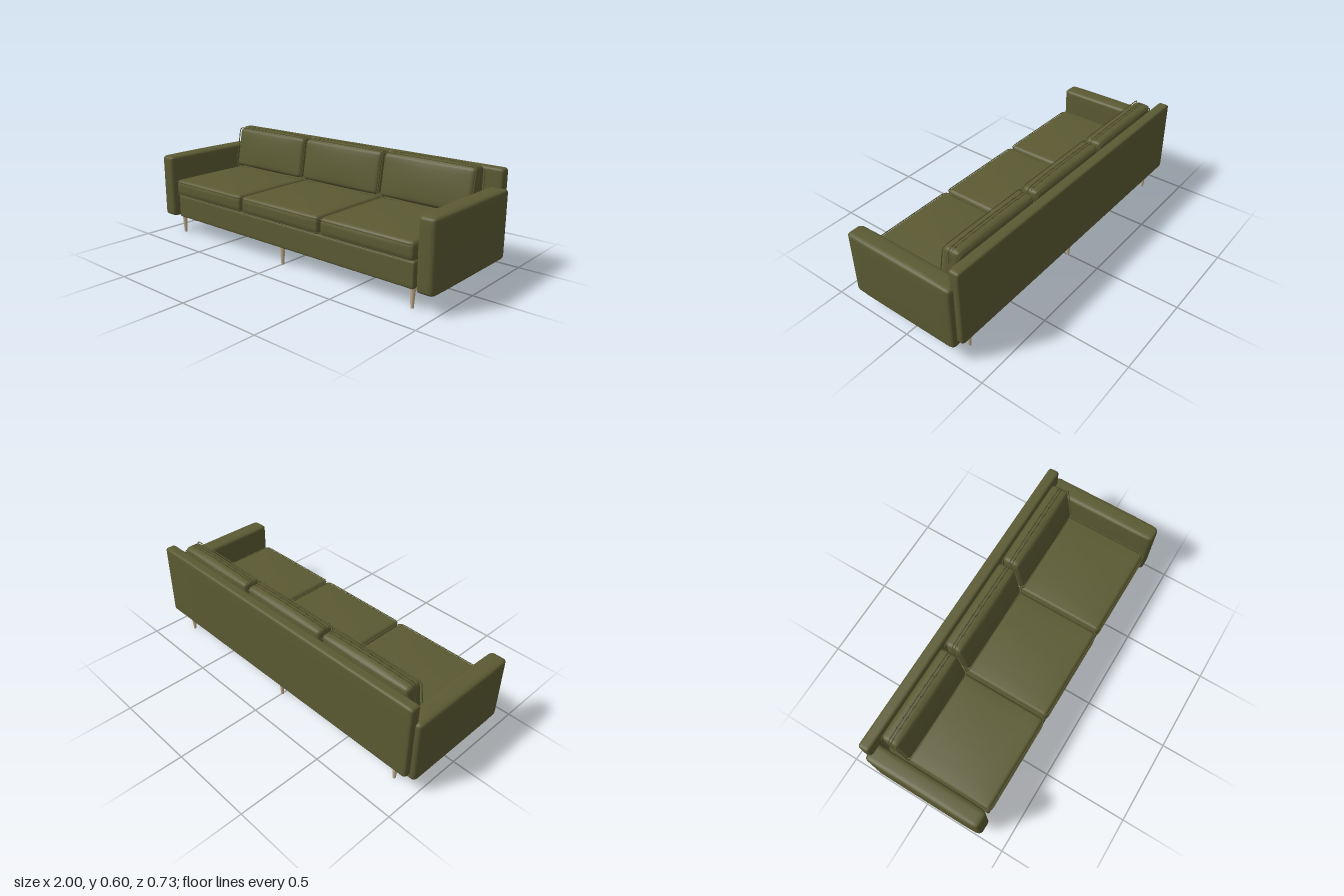
import * as THREE from 'three';
import { mergeVertices } from 'three/addons/utils/BufferGeometryUtils.js';

const fabric = new THREE.MeshStandardMaterial({ color: 0x5b5a33 });
fabric.name = 'oliveFabric';
const wood = new THREE.MeshStandardMaterial({ color: 0xc4b092 });
wood.name = 'paleWood';

// Box with rounded edges (radius r per axis); faces swell by puff = [x, y, z]
function softBox([w, h, d], r, puff = [0, 0, 0], deform) {
  const n = 14, edge = 3;
  const box = new THREE.BoxGeometry(2, 2, 2, n, n, n);
  box.deleteAttribute('normal');
  box.deleteAttribute('uv');
  const g = mergeVertices(box, 1e-4);
  const half = [w / 2, h / 2, d / 2];
  const p = g.attributes.position;
  // First few grid lines on each side form the rounded edge, the rest the flat face
  const spread = (t, s, rad) => {
    const i = Math.round((t + 1) * n / 2);
    if (i <= edge) return -s + rad * (1 - Math.cos(i / edge * Math.PI / 2));
    if (i >= n - edge) return s - rad * (1 - Math.cos((n - i) / edge * Math.PI / 2));
    return (s - rad) * (2 * (i - edge) / (n - 2 * edge) - 1);
  };
  for (let i = 0; i < p.count; i++) {
    const t = [p.getX(i), p.getY(i), p.getZ(i)];
    const q = t.map((v, a) => spread(v, half[a], r[a]));
    const core = q.map((v, a) => THREE.MathUtils.clamp(v, -half[a] + r[a], half[a] - r[a]));
    const off = q.map((v, a) => (v - core[a]) / r[a]);
    const len = Math.hypot(...off) || 1;
    const u = q.map((v, a) => v / half[a]);
    const v = core.map((c, a) => {
      const b = (a + 1) % 3, e = (a + 2) % 3;
      const swell = puff[a] * (1 - u[b] ** 2) * (1 - u[e] ** 2) * u[a];
      return c + off[a] / len * r[a] + swell;
    });
    const out = new THREE.Vector3(...v);
    if (deform) deform(out);
    p.setXYZ(i, out.x, out.y, out.z);
  }
  g.computeVertexNormals();
  return g;
}

// Thin closed cord round a rounded rectangle; place(a, b) turns 2D into 3D
function cord(w, h, r, place) {
  const pts = [];
  for (let c = 0; c < 4; c++) {
    const cx = (c === 0 || c === 3 ? 1 : -1) * (w / 2 - r);
    const cy = (c < 2 ? 1 : -1) * (h / 2 - r);
    for (let k = 0; k <= 4; k++) {
      const a = (c + k / 4) * Math.PI / 2;
      pts.push(place(cx + r * Math.cos(a), cy + r * Math.sin(a)));
    }
  }
  const path = new THREE.CurvePath();
  pts.forEach((pt, i) => path.add(new THREE.LineCurve3(pt, pts[(i + 1) % pts.length])));
  path.getPointAt = (t, target) => path.getPoint(t, target);
  return new THREE.TubeGeometry(path, 120, 0.003, 5, true);
}

export function createModel() {
  const sofa = new THREE.Group();
  sofa.name = 'sofa';
  const add = (name, geo, mat, x = 0, y = 0, z = 0, parent = sofa) => {
    const m = new THREE.Mesh(geo, mat);
    m.name = name;
    m.position.set(x, y, z);
    parent.add(m);
    return m;
  };

  // Frame: base rail and tall back panel
  add('base', softBox([1.75, 0.14, 0.65], [0.012, 0.012, 0.012]), fabric, 0, 0.172, 0.015);
  add('backPanel', softBox([1.935, 0.45, 0.066], [0.022, 0.018, 0.015]), fabric, 0, 0.356, -0.331);

  // Arms, narrowing slightly towards the front
  for (const s of [1, -1]) {
    const arm = softBox([0.106, 0.378, 0.69], [0.022, 0.018, 0.03], [0.002, 0.004, 0],
      v => { if (v.z > 0.3) v.x *= 1 - (v.z - 0.3) * 3; });
    add(s > 0 ? 'leftArm' : 'rightArm', arm, fabric, s * 0.945, 0.29, 0.018);
  }

  // Back cushion front face leans back, the rear stays near upright
  const lean = v => { v.z -= (v.y + 0.122) * (v.z > 0 ? 0.17 : 0.02); };
  const seatGeo = softBox([0.575, 0.1, 0.645], [0.02, 0.03, 0.022], [0.002, 0.012, 0.003]);
  const backGeo = softBox([0.57, 0.242, 0.135], [0.025, 0.022, 0.025], [0.002, 0.008, 0.01], lean);
  const seatCord = cord(0.582, 0.65, 0.03, (a, b) => new THREE.Vector3(a, 0, -b));
  const frontCord = cord(0.578, 0.25, 0.025, (a, b) => new THREE.Vector3(a, b, 0.063 - (b + 0.122) * 0.17));
  const rearCord = cord(0.572, 0.226, 0.025, (a, b) => new THREE.Vector3(a, b - 0.008, -0.064 - (b + 0.122) * 0.03));

  for (const x of [-0.588, 0, 0.588]) {
    const seat = new THREE.Group();
    seat.name = 'seatCushion';
    seat.position.set(x, 0.29, 0.03);
    add('seatPad', seatGeo, fabric, 0, 0, 0, seat);
    add('seatPipingTop', seatCord, fabric, 0, 0.039, 0, seat);
    add('seatPipingBottom', seatCord, fabric, 0, -0.039, 0, seat);
    const back = new THREE.Group();
    back.name = 'backCushion';
    back.position.set(x, 0.472, -0.212);
    add('backPad', backGeo, fabric, 0, 0, 0, back);
    add('backPipingFront', frontCord, fabric, 0, 0, 0, back);
    add('backPipingRear', rearCord, fabric, 0, 0, 0, back);
    sofa.add(seat, back);
  }

  // Six tapered legs
  const legGeo = new THREE.CylinderGeometry(0.016, 0.008, 0.108, 16);
  for (const x of [-0.857, 0, 0.857]) {
    for (const z of [0.315, -0.299]) add('leg', legGeo, wood, x, 0.054, z);
  }
  return sofa;
}
